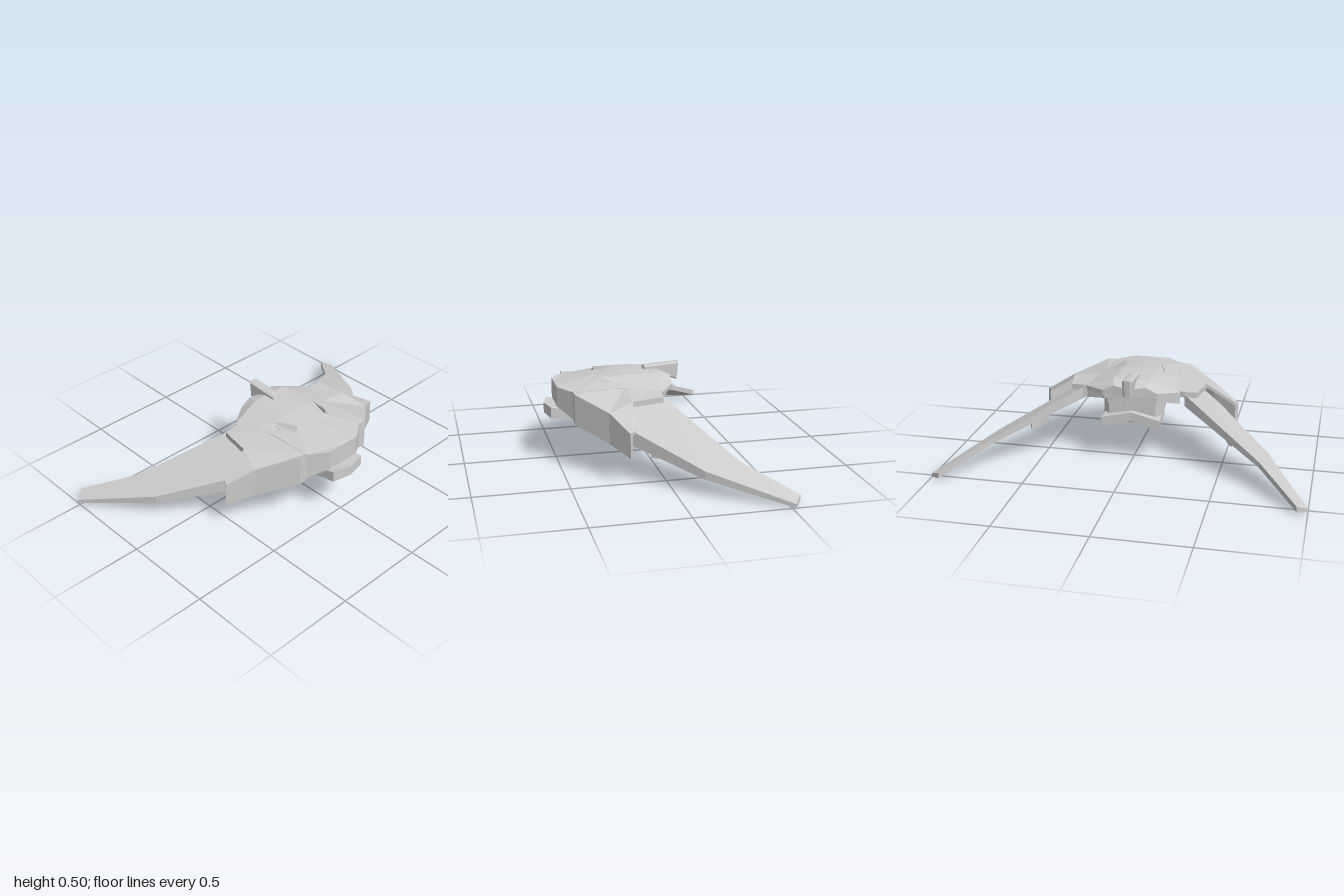
import * as THREE from 'three';

const hullGrey = new THREE.MeshStandardMaterial({ color: 0xcccccc, flatShading: true });
hullGrey.name = 'hullGrey';

// Solid between two matching outlines of [x, y, z] points, seen from above.
function solid(top, bottom) {
  let area = 0;
  top.forEach((p, i) => {
    const q = top[(i + 1) % top.length];
    area += p[0] * q[2] - q[0] * p[2];
  });
  if (area > 0) {
    top = [...top].reverse();
    bottom = [...bottom].reverse();
  }
  const pos = [];
  const tri = (a, b, c) => pos.push(...a, ...b, ...c);
  const caps = (pts, up) => {
    const flat = pts.map((p) => new THREE.Vector2(p[0], p[2]));
    for (const [i, j, k] of THREE.ShapeUtils.triangulateShape(flat, [])) {
      const a = pts[i], b = pts[j], c = pts[k];
      const ny = (b[2] - a[2]) * (c[0] - a[0]) - (b[0] - a[0]) * (c[2] - a[2]);
      if ((ny > 0) === up) tri(a, b, c);
      else tri(a, c, b);
    }
  };
  caps(top, true);
  caps(bottom, false);
  top.forEach((t, i) => {
    const j = (i + 1) % top.length;
    tri(bottom[i], bottom[j], top[j]);
    tri(bottom[i], top[j], t);
  });
  const geo = new THREE.BufferGeometry();
  geo.setAttribute('position', new THREE.Float32BufferAttribute(pos, 3));
  geo.computeVertexNormals();
  return geo;
}

export function createModel() {
  const model = new THREE.Group();
  model.name = 'gliderCraft';
  const add = (name, geo) => {
    const mesh = new THREE.Mesh(geo, hullGrey);
    mesh.name = name;
    model.add(mesh);
  };
  // Adds a part and its mirror across z = 0; each top point is [x, y, z],
  // lower is a list of bottom heights or one thickness.
  const pair = (name, top, lower) => {
    for (const s of [1, -1]) {
      const t = top.map(([x, y, z]) => [x, y, z * s]);
      const b = t.map(([x, y, z], i) => [x, Array.isArray(lower) ? lower[i] : y - lower, z]);
      add(name + (s > 0 ? 'Left' : 'Right'), solid(t, b));
    }
  };

  // Swept, drooping wings
  pair('outerWing', [[-0.52, 0.02, 1], [-0.13, 0.135, 0.76], [-0.32, 0.16, 0.73], [-0.56, 0.045, 0.945]],
    [0, 0.09, 0.13, 0.015]);
  pair('innerWing', [[-0.13, 0.135, 0.76], [0.19, 0.28, 0.45], [0.3, 0.35, 0.3], [-0.03, 0.395, 0.285], [-0.32, 0.16, 0.73]],
    [0.09, 0.2, 0.25, 0.33, 0.13]);
  pair('underwingPod', [[0.09, 0.18, 0.53], [0.04, 0.18, 0.57], [-0.06, 0.18, 0.585], [-0.12, 0.18, 0.56], [-0.06, 0.19, 0.525], [0.04, 0.19, 0.51]],
    [0.143, 0.147, 0.145, 0.15, 0.15, 0.15]);

  // Shoulder armour: thin top plates and a hanging leading wall
  pair('shoulderInner', [[0.43, 0.422, 0.18], [0.43, 0.42, 0.245], [0.28, 0.36, 0.42], [0.15, 0.402, 0.38], [0.15, 0.43, 0.2]], 0.025);
  pair('shoulderTip', [[0.28, 0.36, 0.42], [0.2, 0.287, 0.555], [0.17, 0.3, 0.535], [0.15, 0.402, 0.38]], 0.02);
  pair('shoulderRear', [[0.15, 0.43, 0.2], [0.15, 0.402, 0.38], [-0.02, 0.407, 0.352], [-0.03, 0.41, 0.28], [-0.02, 0.418, 0.24]], 0.03);
  pair('leadingWall', [[0.43, 0.419, 0.2], [0.43, 0.419, 0.245], [0.28, 0.359, 0.42], [0.2, 0.286, 0.555], [0.185, 0.285, 0.54], [0.255, 0.35, 0.41], [0.4, 0.41, 0.235]],
    [0.265, 0.255, 0.195, 0.155, 0.165, 0.2, 0.265]);

  // Central hull with blunt nose
  pair('foreHull', [[0.5, 0.425, 0], [0.5, 0.425, 0.1], [0.43, 0.42, 0.2], [0.2, 0.43, 0.21], [0.25, 0.455, 0.09], [0.27, 0.458, 0]],
    [0.315, 0.315, 0.27, 0.28, 0.3, 0.3]);
  pair('midHull', [[0.27, 0.42, 0], [0.2, 0.42, 0.21], [-0.03, 0.4, 0.26], [-0.09, 0.41, 0.15], [-0.09, 0.41, 0]],
    [0.3, 0.28, 0.34, 0.365, 0.365]);

  // Rear deck: stations of centre, shoulder and rim points, front to back
  const deck = [
    [[0.27, 0.458, 0], [0.25, 0.455, 0.09], [0.2, 0.43, 0.21]],
    [[0.14, 0.474, 0], [0.14, 0.47, 0.09], [0.1, 0.425, 0.23]],
    [[-0.06, 0.475, 0], [-0.06, 0.472, 0.1], [-0.04, 0.41, 0.265]],
    [[-0.14, 0.44, 0], [-0.125, 0.452, 0.09], [-0.12, 0.42, 0.15]],
  ];
  for (let i = 0; i < 3; i++) {
    const [a, b] = [deck[i], deck[i + 1]];
    pair('deckCrown', [a[0], a[1], b[1], b[0]], [0.4, 0.4, 0.4, 0.4]);
    pair('deckFlank', [a[1], a[2], b[2], b[1]], [0.4, 0.395, 0.395, 0.4]);
  }
  pair('deckSpike', [[0.1, 0.445, 0.16], [0.17, 0.46, 0.13], [0.265, 0.475, 0.105], [0.275, 0.447, 0.125], [0.2, 0.442, 0.16]],
    [0.42, 0.42, 0.425, 0.42, 0.42]);

  // Keel and vertical rear vents
  pair('keel', [[0.4, 0.33, 0], [0.4, 0.33, 0.09], [0, 0.37, 0.17], [-0.06, 0.38, 0.13], [-0.06, 0.38, 0]],
    [0.27, 0.27, 0.25, 0.25, 0.26]);
  for (const s of [1, -1]) {
    for (let i = 0; i < 3; i++) {
      const vent = new THREE.BoxGeometry(0.04, 0.07, 0.03);
      vent.translate(-0.085 + i * 0.014, 0.37, s * (0.03 + i * 0.045));
      add('rearVent', vent);
    }
  }

  // Chin slab spreading backwards in a shallow chevron
  pair('chinSlab', [[0.56, 0.315, 0], [0.535, 0.315, 0.105], [0.48, 0.305, 0.11], [-0.1, 0.255, 0.165], [-0.09, 0.29, 0]],
    [0.26, 0.255, 0.25, 0.2, 0.24]);

  // Dorsal fin
  const finShape = new THREE.Shape([[-0.19, 0.505], [-0.18, 0.405], [-0.14, 0.42], [-0.1, 0.45], [0.015, 0.465], [0.005, 0.493]]
    .map(([x, y]) => new THREE.Vector2(x, y)));
  const fin = new THREE.ExtrudeGeometry(finShape, {
    depth: 0.03, bevelThickness: 0.012, bevelSize: 0.008, bevelOffset: -0.008, bevelSegments: 1,
  });
  fin.translate(0, 0, -0.015);
  add('dorsalFin', fin);

  return model;
}
